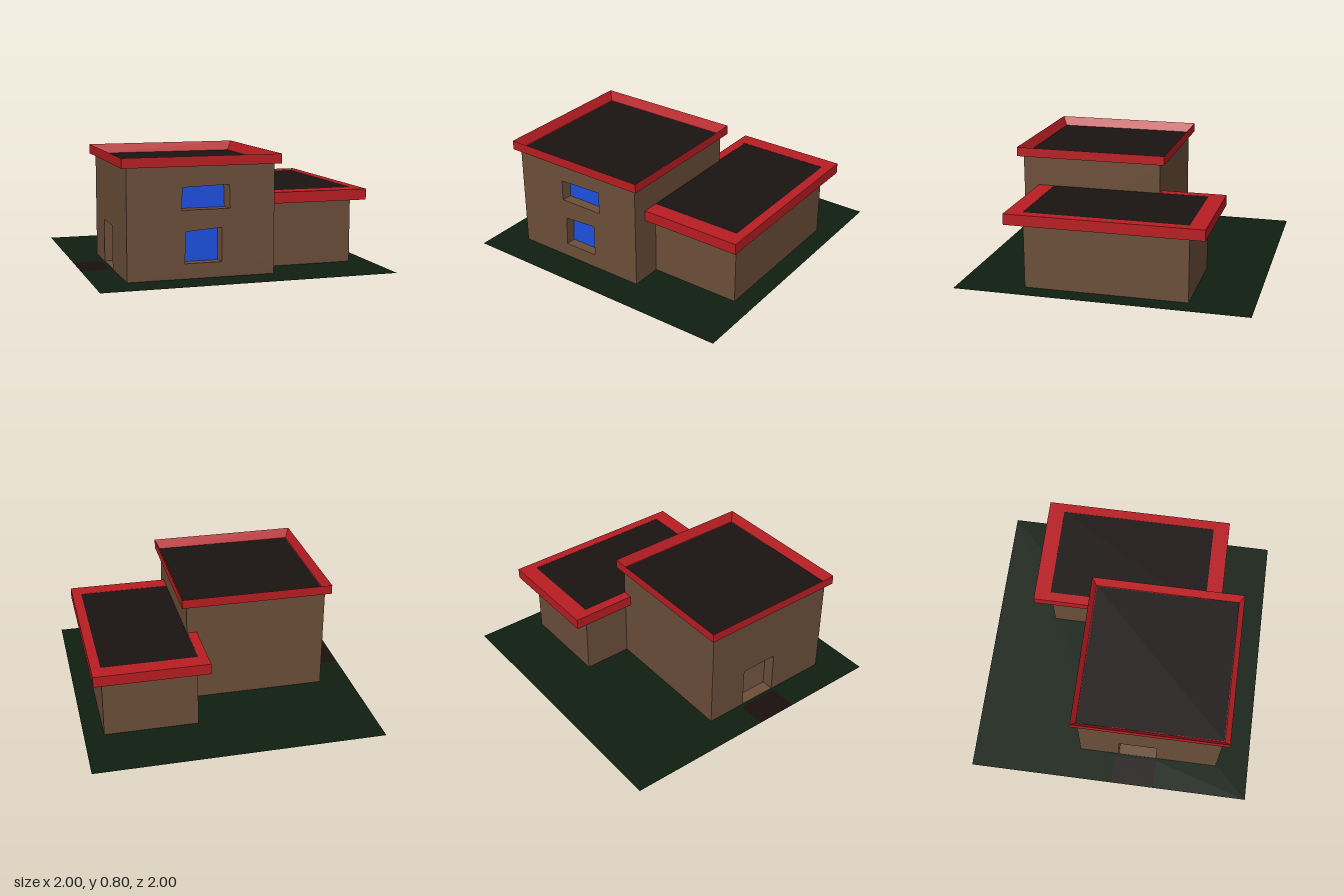
import * as THREE from 'three';

const mat = (color) => new THREE.MeshStandardMaterial({ color, side: THREE.DoubleSide, flatShading: true });
const BROWN = mat(0x6b4e39), RED = mat(0xb81d22), BLUE = mat(0x1c50e0), ROOF = mat(0x1a1412);
const GRASS = mat(0x0f1f10), PATH = mat(0x1a100e), DOOR = mat(0x765640);

function add(parent, name, geometry, material) {
  const mesh = new THREE.Mesh(geometry, material);
  mesh.name = name;
  parent.add(mesh);
  return mesh;
}

// Surface through a series of four-cornered loops
function skin(loops) {
  const pos = [];
  for (let k = 0; k + 1 < loops.length; k++) {
    const a = loops[k], b = loops[k + 1];
    for (let i = 0; i < 4; i++) {
      const j = (i + 1) % 4;
      pos.push(...a[i], ...a[j], ...b[j], ...a[i], ...b[j], ...b[i]);
    }
  }
  const g = new THREE.BufferGeometry();
  g.setAttribute('position', new THREE.Float32BufferAttribute(pos, 3));
  g.computeVertexNormals();
  return g;
}

// Horizontal rectangle grown outwards by gx, gz
const ring = ([x0, x1, z0, z1], y, gx = 0, gz = gx) => [
  [x0 - gx, y, z1 + gz], [x1 + gx, y, z1 + gz], [x1 + gx, y, z0 - gz], [x0 - gx, y, z0 - gz],
];

const polygon = (pts) => new THREE.Shape(pts.map(([x, y]) => new THREE.Vector2(x, y)));

function flat(parent, name, [x0, x1, z0, z1], y, material) {
  const g = new THREE.PlaneGeometry(x1 - x0, z1 - z0).rotateX(-Math.PI / 2);
  add(parent, name, g, material).position.set((x0 + x1) / 2, y, (z0 + z1) / 2);
}

// Upright wall with recessed openings; each has an outer and an inner outline
function wall(parent, name, x0, x1, height, openings = []) {
  const group = new THREE.Group();
  group.name = name;
  const shape = polygon([[x0, 0], [x1, 0], [x1, height], [x0, height]]);
  for (const o of openings) {
    shape.holes.push(polygon(o.outer));
    const at = (pts, z) => pts.map(([x, y]) => [x, y, z]);
    add(group, o.name + 'Reveal', skin([at(o.outer, 0), at(o.inner, -o.depth)]), BROWN);
    add(group, o.name, new THREE.ShapeGeometry(polygon(o.inner)), o.material).position.z = -o.depth;
  }
  add(group, name + 'Face', new THREE.ShapeGeometry(shape), BROWN);
  parent.add(group);
  return group;
}

export function createModel() {
  const model = new THREE.Group();
  model.name = 'house';

  // Ground with a patch of path set into its edge, in front of the door
  const ground = polygon([[-1, -1], [1, -1], [1, 1], [-1, 1], [-1, -0.03], [-0.8, -0.03], [-0.8, -0.33], [-1, -0.33]]);
  add(model, 'ground', new THREE.ShapeGeometry(ground).rotateX(-Math.PI / 2), GRASS);
  flat(model, 'path', [-1, -0.8, 0.03, 0.33], 0, PATH);

  // Tall block
  const main = [-0.78, 0.215, -0.23, 0.765], H = 0.735;
  const [x0, x1, z0, z1] = main;
  wall(model, 'frontWall', x0, x1, H, [
    {
      name: 'upperWindow', material: BLUE, depth: 0.07,
      outer: [[-0.415, 0.45], [-0.09, 0.45], [-0.095, 0.607], [-0.413, 0.597]],
      inner: [[-0.405, 0.452], [-0.108, 0.452], [-0.113, 0.605], [-0.403, 0.595]],
    },
    {
      name: 'lowerWindow', material: BLUE, depth: 0.07,
      outer: [[-0.398, 0.1], [-0.145, 0.1], [-0.145, 0.327], [-0.388, 0.31]],
      inner: [[-0.396, 0.101], [-0.156, 0.101], [-0.153, 0.325], [-0.386, 0.309]],
    },
  ]).position.z = z1;

  const doorOutline = [[0.055, 0.004], [0.325, 0.004], [0.325, 0.3], [0.055, 0.3]];
  const side = wall(model, 'doorWall', z0, z1, H, [
    { name: 'door', material: DOOR, depth: 0.085, outer: doorOutline, inner: doorOutline },
  ]);
  side.rotation.y = -Math.PI / 2;
  side.position.x = x0;

  const back = wall(model, 'backWall', -x1, -x0, H);
  back.rotation.y = Math.PI;
  back.position.z = z0;

  const inner = wall(model, 'annexSideWall', -z1, -z0, H);
  inner.rotation.y = Math.PI / 2;
  inner.position.x = x1;

  // Tall roof: soffit, fascia and sloping inner face around a sunken deck
  add(model, 'mainRoofRim', skin([
    ring(main, H), ring(main, H, 0.037), ring(main, 0.8, 0.037), ring(main, H, 0.005),
  ]), RED);
  flat(model, 'mainRoofDeck', [x0 - 0.005, x1 + 0.005, z0 - 0.005, z1 + 0.005], H, ROOF);

  // Low annex with a broad flat rim
  const annex = [0.21, 0.862, -0.573, 0.543];
  add(model, 'annexWalls', skin([ring(annex, 0), ring(annex, 0.45)]), BROWN);
  add(model, 'annexRoofRim', skin([
    ring(annex, 0.45), ring(annex, 0.45, 0.066, 0.114),
    ring(annex, 0.525, 0.066, 0.114), ring(annex, 0.525),
  ]), RED);
  flat(model, 'annexRoofDeck', annex, 0.524, ROOF);

  return model;
}
